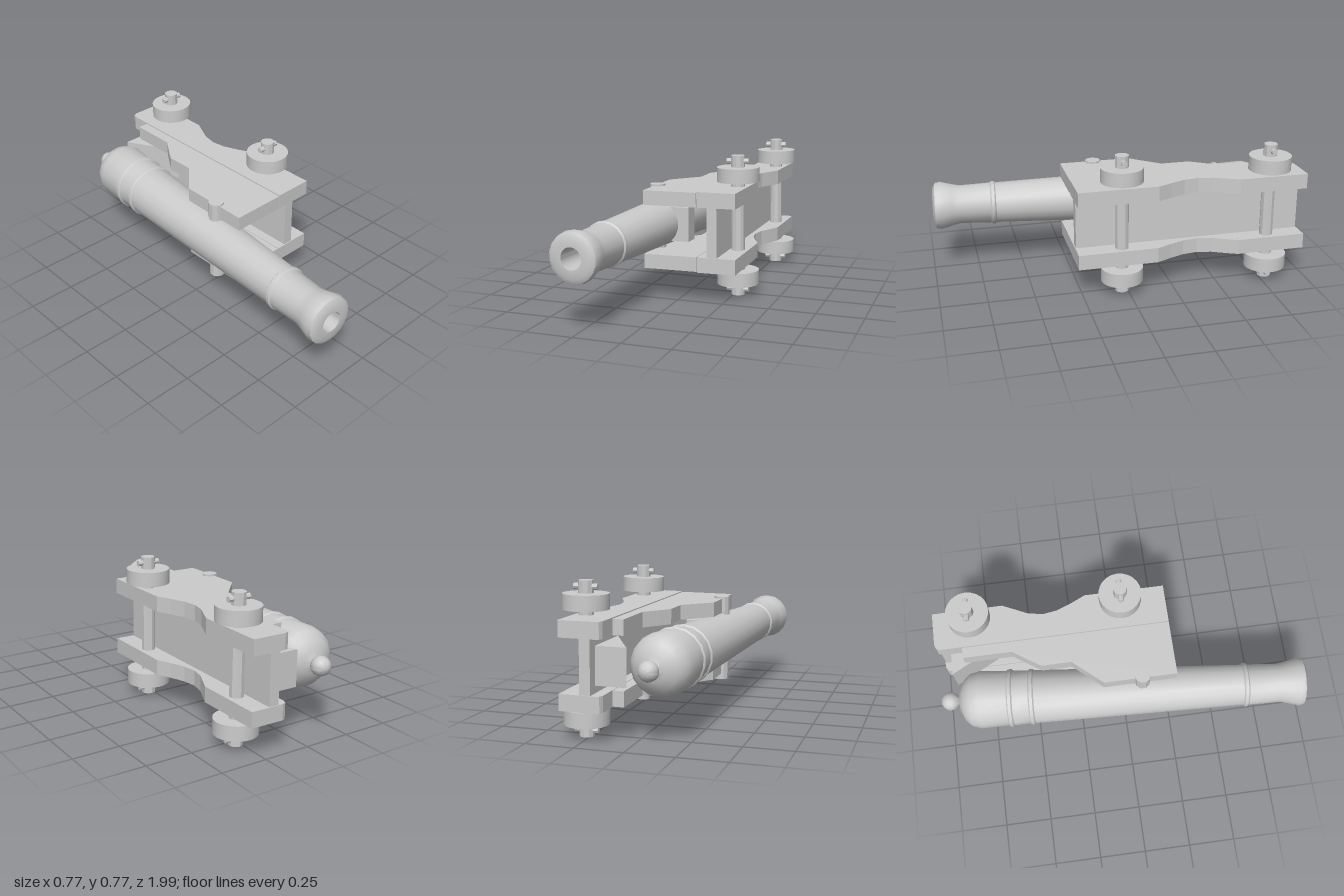
import * as THREE from 'three';
import { toCreasedNormals } from 'three/addons/utils/BufferGeometryUtils.js';

const material = new THREE.MeshStandardMaterial({ color: 0xcccccc });

function add(parent, name, geometry, x = 0, y = 0, z = 0) {
  const mesh = new THREE.Mesh(geometry, material);
  mesh.name = name;
  mesh.position.set(x, y, z);
  parent.add(mesh);
  return mesh;
}

// Flat plate: outline given as [x, z], thickness along y, centred on y = 0
function plate(outline, thickness) {
  const shape = new THREE.Shape(outline.map(([x, z]) => new THREE.Vector2(x, -z)));
  const g = new THREE.ExtrudeGeometry(shape, { depth: thickness, bevelEnabled: false });
  return g.rotateX(-Math.PI / 2).translate(0, -thickness / 2, 0);
}

const cylinder = (r, h, sides) =>
  toCreasedNormals(new THREE.CylinderGeometry(r, r, h, sides), 0.6);

function createBarrel() {
  // Profile as [radius, position along the barrel], from knob to bore
  const profile = [[0, -1.005]];
  for (let i = 1; i <= 6; i++) {
    const a = (i / 7) * Math.PI;
    profile.push([0.051 * Math.sin(a), -0.955 - 0.05 * Math.cos(a)]);
  }
  profile.push([0.03, -0.905], [0.06, -0.9], [0.115, -0.872], [0.145, -0.838], [0.158, -0.79]);
  // Raised reinforcing bands
  for (const [z, r] of [[-0.625, 0.151], [-0.51, 0.146], [0.655, 0.112]]) {
    profile.push([r, z - 0.015], [r + 0.008, z - 0.008], [r + 0.008, z + 0.008], [r, z + 0.015]);
  }
  // Flared muzzle and deep bore
  profile.push([0.106, 0.84], [0.115, 0.88], [0.132, 0.945], [0.126, 0.972], [0.102, 0.985],
    [0.056, 0.985], [0.056, -0.45], [0, -0.45]);
  const g = new THREE.LatheGeometry(profile.map(([r, y]) => new THREE.Vector2(r, y)), 18);
  return toCreasedNormals(g.rotateX(Math.PI / 2), 0.6);
}

export function createModel() {
  const model = new THREE.Group();
  model.name = 'cannon';
  // The whole gun lies on its side, mirrored about the plane y = 0.383
  const gun = new THREE.Group();
  gun.name = 'gunOnCarriage';
  gun.position.y = 0.383;
  gun.rotation.z = 0.0105;
  model.add(gun);

  const barrel = add(gun, 'barrel', createBarrel(), -0.179, -0.003, 0);
  barrel.rotation.y = -0.0765;
  add(gun, 'trunnion', cylinder(0.042, 0.463, 10), -0.173, -0.011, 0.092);

  // Carriage cheeks, each in a lower and an upper plank
  const lowerPlank = [[0.115, 0.275], [0.325, 0.275], [0.325, -0.156], [0.288, -0.235],
    [0.257, -0.315], [0.246, -0.394], [0.262, -0.474], [0.294, -0.54], [0.325, -0.606],
    [0.325, -0.985], [0.145, -0.985], [0.124, -0.976], [0.115, -0.955]];
  const upperPlank = [[-0.183, 0.275], [0.112, 0.275], [0.112, -0.84], [0.055, -0.84],
    [0.055, -0.58], [0, -0.5], [-0.045, -0.43], [-0.045, -0.272], [-0.183, -0.115]];
  for (const side of [1, -1]) {
    add(gun, 'cheekLowerPlank', plate(lowerPlank, 0.082), 0, side * 0.174, 0);
    add(gun, 'cheekUpperPlank', plate(upperPlank, 0.078), 0, side * 0.172, 0);
  }

  // Bed, cross piece and wedge between the cheeks
  add(gun, 'bed', new THREE.BoxGeometry(0.054, 0.27, 1.25), 0.195, 0, -0.355);
  add(gun, 'transom', new THREE.BoxGeometry(0.11, 0.19, 0.1), -0.052, -0.002, 0.04);
  add(gun, 'wedge', plate([[0.013, -0.917], [0.17, -0.917], [0.17, -0.62]], 0.19), 0, -0.002, 0);

  // Axles with wheels and locking pins
  for (const z of [0.03, -0.786]) {
    add(gun, 'axle', cylinder(0.037, 0.765, 10), 0.267, 0, z);
    for (const side of [1, -1]) {
      add(gun, 'wheel', cylinder(0.114, 0.077, 24), 0.267, side * 0.281, z);
      const pin = add(gun, 'axlePin', cylinder(0.015, 0.122, 8), 0.267, side * 0.351, z);
      pin.rotation.z = Math.PI / 2;
    }
  }
  return model;
}
